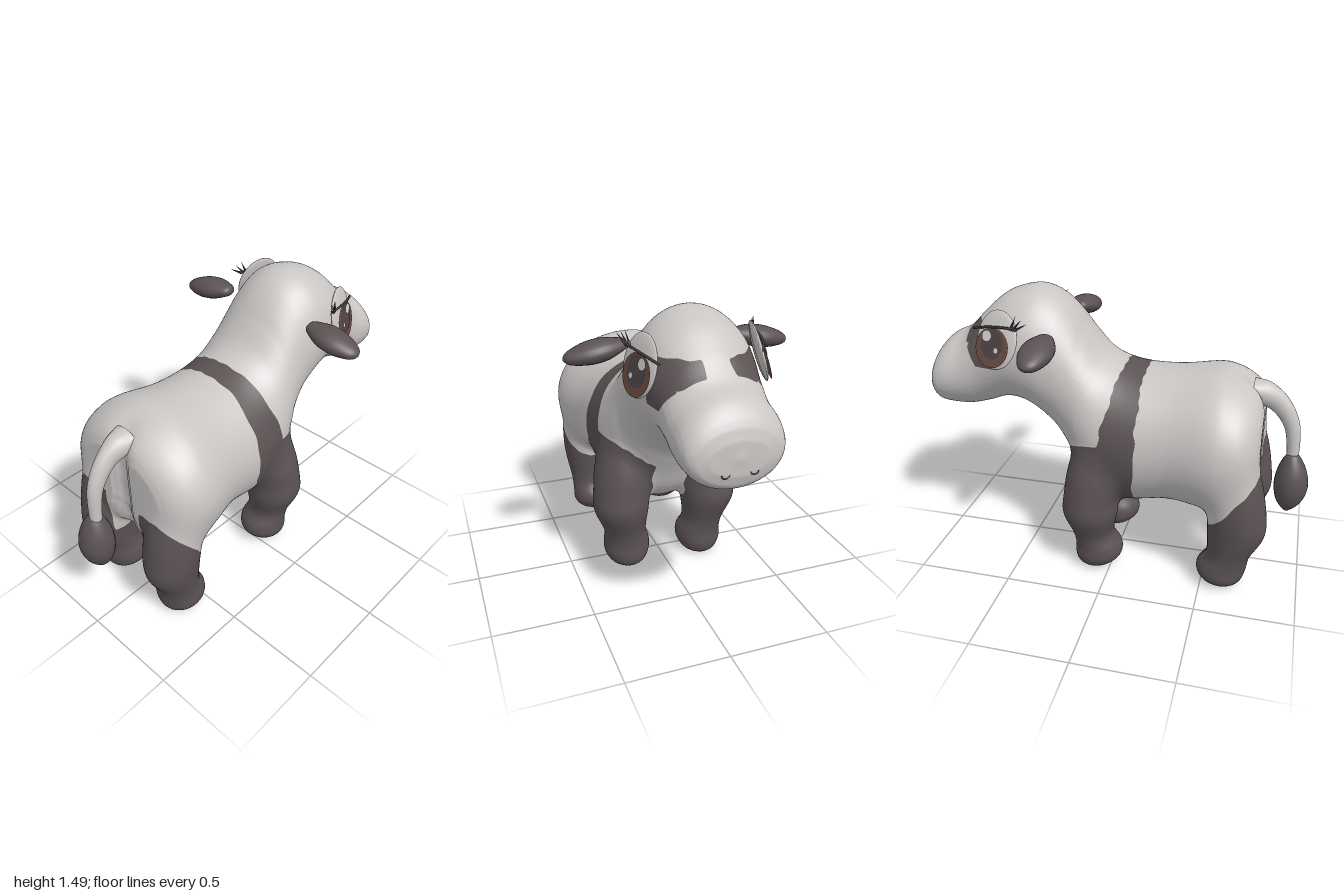
import * as THREE from 'three';

const mat = (name, color, side = THREE.FrontSide) => {
  const m = new THREE.MeshStandardMaterial({ color, side });
  m.name = name;
  return m;
};

// Smooth interpolation of a row of numbers along the list of rows
function sampleRow(rows, t) {
  const n = rows.length - 1;
  const f = t * n, i = Math.min(Math.floor(f), n - 1), w = f - i;
  const p = k => rows[Math.max(0, Math.min(n, k))];
  return rows[0].map((_, k) => {
    const a = p(i - 1)[k], b = p(i)[k], c = p(i + 1)[k], d = p(i + 2)[k];
    const v0 = (c - a) / 2, v1 = (d - b) / 2;
    return (2 * b - 2 * c + v0 + v1) * w ** 3 + (-3 * b + 3 * c - 2 * v0 - v1) * w * w + v0 * w + b;
  });
}

const indexed = (pos, index) => {
  const g = new THREE.BufferGeometry();
  g.setAttribute('position', new THREE.Float32BufferAttribute(pos, 3));
  g.setIndex(index);
  g.computeVertexNormals();
  return g;
};

// Elliptical rings along rows [x, y, radiusInPlane, radiusZ, angle]
function loft(rows, steps, segs) {
  const pos = [], index = [];
  for (let i = 0; i <= steps; i++) {
    const [x, y, rv, ru, a] = sampleRow(rows, i / steps);
    for (let j = 0; j < segs; j++) {
      const th = j / segs * Math.PI * 2, v = Math.max(rv, 0) * Math.cos(th);
      pos.push(x + v * Math.cos(a), y + v * Math.sin(a), Math.max(ru, 0) * Math.sin(th));
      if (i === steps) continue;
      const p = i * segs + j, q = i * segs + (j + 1) % segs;
      index.push(p, q, p + segs, q, q + segs, p + segs);
    }
  }
  return indexed(pos, index);
}

// Signed field (negative inside) of a limb with rows [along, centreA, centreB, radiusA, radiusB]
function limb(rows) {
  const lo = rows[0][0], hi = rows[rows.length - 1][0], n = 3000, table = [];
  for (let i = 0, s = 0; i <= n; i++) {
    const key = lo + (hi - lo) * i / n;
    let row = sampleRow(rows, s / n);
    while (s < n && row[0] < key) row = sampleRow(rows, ++s / n);
    table.push(row);
  }
  return (along, a, b) => {
    const t = Math.max(0, Math.min(1, (along - lo) / (hi - lo)));
    const [, ca, cb, ra, rb] = table[Math.round(t * n)];
    const A = Math.max(ra, 0.004), B = Math.max(rb, 0.004);
    return Math.max((Math.hypot((a - ca) / A, (b - cb) / B) - 1) * Math.min(A, B), along - hi, lo - along);
  };
}
const blend = (a, b, k) => Math.min(a, b) - Math.max(k - Math.abs(a - b), 0) ** 2 / (4 * k);

// Closed mesh around the zero surface of a field: one vertex per crossed cell
function skin(field, min, max, h) {
  const n = min.map((v, k) => Math.ceil((max[k] - v) / h) + 1);
  const stride = [1, n[0], n[0] * n[1]], total = n[0] * n[1] * n[2];
  const val = new Float32Array(total), cell = new Int32Array(total).fill(-1);
  const at = p => [p % n[0], Math.floor(p / n[0]) % n[1], Math.floor(p / stride[2])];
  for (let p = 0; p < total; p++) val[p] = field(...at(p).map((c, k) => min[k] + c * h));
  const pos = [], index = [];
  for (let p = 0; p < total - stride[2] - stride[1] - 1; p++) {
    const sum = [0, 0, 0], c = at(p);
    let count = 0;
    for (let corner = 0; corner < 8; corner++) {
      const o = [corner & 1, corner >> 1 & 1, corner >> 2];
      const q = p + o[0] + o[1] * stride[1] + o[2] * stride[2];
      for (let k = 0; k < 3; k++) {
        if (o[k] || val[q] < 0 === val[q + stride[k]] < 0) continue;
        const w = val[q] / (val[q] - val[q + stride[k]]);
        for (let m = 0; m < 3; m++) sum[m] += o[m] + (m === k ? w : 0);
        count++;
      }
    }
    if (!count) continue;
    cell[p] = pos.length / 3;
    pos.push(...sum.map((s, k) => min[k] + (c[k] + s / count) * h));
    for (let k = 0; k < 3; k++) {
      const b = stride[(k + 1) % 3], d = stride[(k + 2) % 3];
      if (val[p] < 0 === val[p + stride[k]] < 0) continue;
      const [e, f, g, i] = [p - b - d, p - d, p, p - b].map(q => cell[q]);
      index.push(...(val[p] < 0 ? [e, f, g, e, g, i] : [e, g, f, e, i, g]));
    }
  }
  return indexed(pos, index);
}

// Cut faces along the zero line of mark(x, y, z): group 0 is light, group 1 is dark
function paint(g, mark) {
  const pos = Array.from(g.attributes.position.array), nor = Array.from(g.attributes.normal.array);
  const index = Array.from(g.index.array), val = [], light = [], dark = [];
  for (let i = 0; i < pos.length; i += 3) val.push(mark(pos[i], pos[i + 1], pos[i + 2]));
  const cut = (a, b) => {
    const w = val[a] / (val[a] - val[b]);
    for (const arr of [pos, nor]) {
      for (let k = 0; k < 3; k++) arr.push(arr[a * 3 + k] * (1 - w) + arr[b * 3 + k] * w);
    }
    return pos.length / 3 - 1;
  };
  for (let i = 0; i < index.length; i += 3) {
    const t = index.slice(i, i + 3), sign = t.map(v => val[v] > 0), count = sign.filter(Boolean).length;
    if (count % 3 === 0) {
      (count ? dark : light).push(...t);
      continue;
    }
    const lone = sign.indexOf(count === 1);
    const [a, b, c] = [t[lone], t[(lone + 1) % 3], t[(lone + 2) % 3]], ab = cut(a, b), ac = cut(a, c);
    (count === 1 ? dark : light).push(a, ab, ac);
    (count === 1 ? light : dark).push(ab, b, c, ab, c, ac);
  }
  g.setAttribute('position', new THREE.Float32BufferAttribute(pos, 3));
  g.setAttribute('normal', new THREE.Float32BufferAttribute(nor, 3));
  g.setIndex([...light, ...dark]);
  g.addGroup(0, light.length, 0);
  g.addGroup(light.length, dark.length, 1);
  return g;
}

// Coat markings: positive where dark
function markings(x, y, z) {
  const s = Math.abs(z), w = 0.005 * Math.sin(y * 37) + 0.003 * Math.sin(z * 71 + y * 50);
  const band = Math.min(x + 0.15 - Math.max(0, 0.7 - y) * 0.12 - w, 0.04 - Math.max(0, y - 0.8) * 0.24 + w - x);
  const foreleg = Math.min(x + 0.12, 0.32 - x, Math.max(s - 0.095 - w, 0.365 - y), 0.56 + s * 0.65 + w - y);
  const haunch = Math.min(-0.44 - x, Math.max(s - 0.12, 0.37 - y), 0.7 - (x + 0.77) * 1.28 + w - y);
  const brow = Math.min(x - 0.58, s - 0.065 - w, 1.325 + w - y, 0.79 - s * 0.12 - Math.max(0, 1.22 - y) * 0.6 - x,
    Math.max(y - 1.21 - w, Math.min(y - 1.11 - w, (s - 0.19) * 2)));
  return Math.max(band, foreleg, haunch, brow);
}

// Torso, neck and head: x, top, bottom, half width
const torso = limb([
  [-0.762, 0.8, 0.8, 0], [-0.757, 0.94, 0.62, 0.22], [-0.73, 1.03, 0.5, 0.32], [-0.67, 1.085, 0.44, 0.385],
  [-0.59, 1.122, 0.4, 0.413], [-0.5, 1.135, 0.38, 0.412], [-0.3, 1.11, 0.395, 0.362], [-0.1, 1.115, 0.36, 0.355],
  [0.05, 1.17, 0.36, 0.34], [0.15, 1.28, 0.44, 0.308], [0.22, 1.375, 0.58, 0.282], [0.3, 1.45, 0.72, 0.275],
  [0.4, 1.49, 0.82, 0.28], [0.5, 1.478, 0.875, 0.277], [0.6, 1.435, 0.88, 0.26], [0.7, 1.35, 0.845, 0.243],
  [0.8, 1.25, 0.82, 0.24], [0.9, 1.2, 0.82, 0.238], [0.96, 1.14, 0.835, 0.215], [0.99, 1.07, 0.89, 0.15], [1, 0.98, 0.98, 0],
].map(([x, t, b, w]) => [x, (t + b) / 2, 0, (t - b) / 2, w]));
// Legs from the ground up: y, x, z, radius x, radius z
const foreleg = limb([
  [0, 0.09, 0.21, 0, 0], [0.005, 0.09, 0.21, 0.055, 0.05], [0.03, 0.085, 0.21, 0.1, 0.095], [0.08, 0.07, 0.21, 0.127, 0.122],
  [0.14, 0.07, 0.21, 0.125, 0.122], [0.22, 0.095, 0.225, 0.112, 0.113], [0.35, 0.105, 0.245, 0.145, 0.145],
  [0.45, 0.1, 0.24, 0.145, 0.15], [0.6, 0.075, 0.225, 0.148, 0.142], [0.75, 0.07, 0.215, 0.1, 0.09], [0.8, 0.08, 0.2, 0, 0],
]);
const hindLeg = limb([
  [0.008, -0.605, 0.22, 0, 0], [0.012, -0.605, 0.22, 0.055, 0.05], [0.03, -0.605, 0.22, 0.1, 0.095],
  [0.07, -0.6, 0.22, 0.125, 0.12], [0.12, -0.605, 0.22, 0.13, 0.12], [0.2, -0.635, 0.23, 0.115, 0.113],
  [0.33, -0.665, 0.24, 0.145, 0.125], [0.45, -0.66, 0.24, 0.15, 0.138], [0.65, -0.62, 0.24, 0.15, 0.138],
  [0.8, -0.6, 0.23, 0.1, 0.1], [0.88, -0.59, 0.2, 0, 0],
]);
function bodyField(x, y, z) {
  const cleft = 0.04 * Math.exp(-((z / 0.06) ** 2)) * Math.max(0, Math.min(1, (-0.55 - x) * 6));
  const s = Math.abs(z);
  return blend(blend(torso(x - cleft, y, z), foreleg(y, x, s), 0.05), hindLeg(y, x, s), 0.05);
}

export function createModel() {
  const model = new THREE.Group();
  model.name = 'calf';
  const lightCoat = mat('light coat', 0xc9c6c4), darkCoat = mat('dark coat', 0x5b5253);
  const iris = mat('iris brown', 0x674a40, THREE.DoubleSide), pupil = mat('pupil', 0x4d4343, THREE.DoubleSide);
  const glint = mat('eye glint', 0xd0cecc, THREE.DoubleSide), lash = mat('lash', 0x453c3e);
  const add = (name, geo, material, parent = model) => {
    const m = new THREE.Mesh(geo, material);
    m.name = name;
    parent.add(m);
    return m;
  };
  add('bodyAndLegs', paint(skin(bodyField, [-0.85, -0.03, -0.46], [1.04, 1.53, 0.46], 0.0145), markings), [lightCoat, darkCoat]);

  for (const side of [1, -1]) {
    const tag = side > 0 ? 'right' : 'left';
    // Ear: flat leaf pointing outwards
    const earPts = [[0, 0], [0.035, 0.01], [0.058, 0.05], [0.08, 0.11], [0.081, 0.18], [0.064, 0.24], [0.038, 0.287], [0, 0.306]];
    const earCurve = new THREE.SplineCurve(earPts.map(p => new THREE.Vector2(...p)));
    const ear = add(tag + 'Ear', new THREE.LatheGeometry(earCurve.getPoints(24).map(p => p.setX(Math.max(p.x, 0))), 24), darkCoat);
    ear.scale.z = 0.64;
    ear.position.set(0.3, 1.305, 0.26 * side);
    ear.rotation.x = side * (Math.PI / 2 + 0.18);

    // Eye: shallow dome with thin discs, lid line and lashes
    const eye = new THREE.Group();
    eye.name = tag + 'Eye';
    eye.position.set(0.545, side > 0 ? 1.27 : 1.28, side > 0 ? 0.276 : -0.288);
    eye.lookAt(eye.position.clone().add(new THREE.Vector3(0.3, side > 0 ? 0.23 : 0.32, side)));
    model.add(eye);
    add('eyeball', new THREE.SphereGeometry(1, 32, 20), lightCoat, eye).scale.set(0.12, 0.145, 0.02);
    const disc = (name, material, x, y, z, rx, ry) => {
      const d = add(name, new THREE.CircleGeometry(1, 32), material, eye);
      d.position.set(x * side, y, z);
      d.scale.set(rx, ry, 1);
    };
    disc('iris', iris, 0.01, -0.04, 0.021, 0.099, 0.098);
    disc('pupil', pupil, 0.01, -0.022, 0.024, 0.066, 0.074);
    disc('largeGlint', glint, 0.045, 0.013, 0.027, 0.028, 0.026);
    disc('smallGlint', glint, -0.02, -0.05, 0.027, 0.012, 0.013);
    const lidLine = new THREE.CatmullRomCurve3([[-0.12, 0.068, 0.01], [-0.05, 0.066, 0.024], [0.04, 0.056, 0.026], [0.145, 0.035, 0.006]]
      .map(([x, y, z]) => new THREE.Vector3(x * side, y, z)));
    add('lidLine', new THREE.TubeGeometry(lidLine, 20, 0.006, 6), lash, eye);
    for (let i = 0; i < 3; i++) {
      const c = add('eyelash', new THREE.ConeGeometry(0.008, 0.085, 6), lash, eye);
      c.position.set(side * (-0.145 + i * 0.024), 0.084 + i * 0.006, 0.018);
      c.rotation.set(0.3, 0, side * (1.05 - i * 0.3));
    }
    // Nostril: thin arc on the muzzle
    const nostril = add(tag + 'Nostril', new THREE.TorusGeometry(0.018, 0.003, 6, 20, Math.PI), pupil);
    nostril.position.set(0.991, 0.92, 0.065 * side);
    nostril.rotation.set(0, Math.PI / 2, Math.PI, 'YXZ');
  }

  // Tail and its tuft
  add('tail', loft([
    [-0.68, 1.035, 0.05, 0.075, -1.5], [-0.74, 1.015, 0.062, 0.062, -1.3], [-0.8, 0.98, 0.055, 0.045, -1],
    [-0.85, 0.925, 0.047, 0.04, -0.75], [-0.885, 0.855, 0.04, 0.036, -0.35], [-0.9, 0.78, 0.035, 0.034, -0.15], [-0.907, 0.67, 0.03, 0.03, 0],
  ], 42, 20), lightCoat);
  add('tailTuft', loft([
    [-0.908, 0.7, 0, 0, 0], [-0.908, 0.685, 0.035, 0.035, 0], [-0.912, 0.6, 0.075, 0.078, 0], [-0.914, 0.51, 0.087, 0.09, 0],
    [-0.91, 0.43, 0.067, 0.07, 0], [-0.905, 0.375, 0.025, 0.03, 0], [-0.9, 0.355, 0, 0, 0],
  ], 36, 24), darkCoat).position.z = -0.01;
  model.children.forEach(c => { c.position.z -= 0.008; });
  return model;
}
